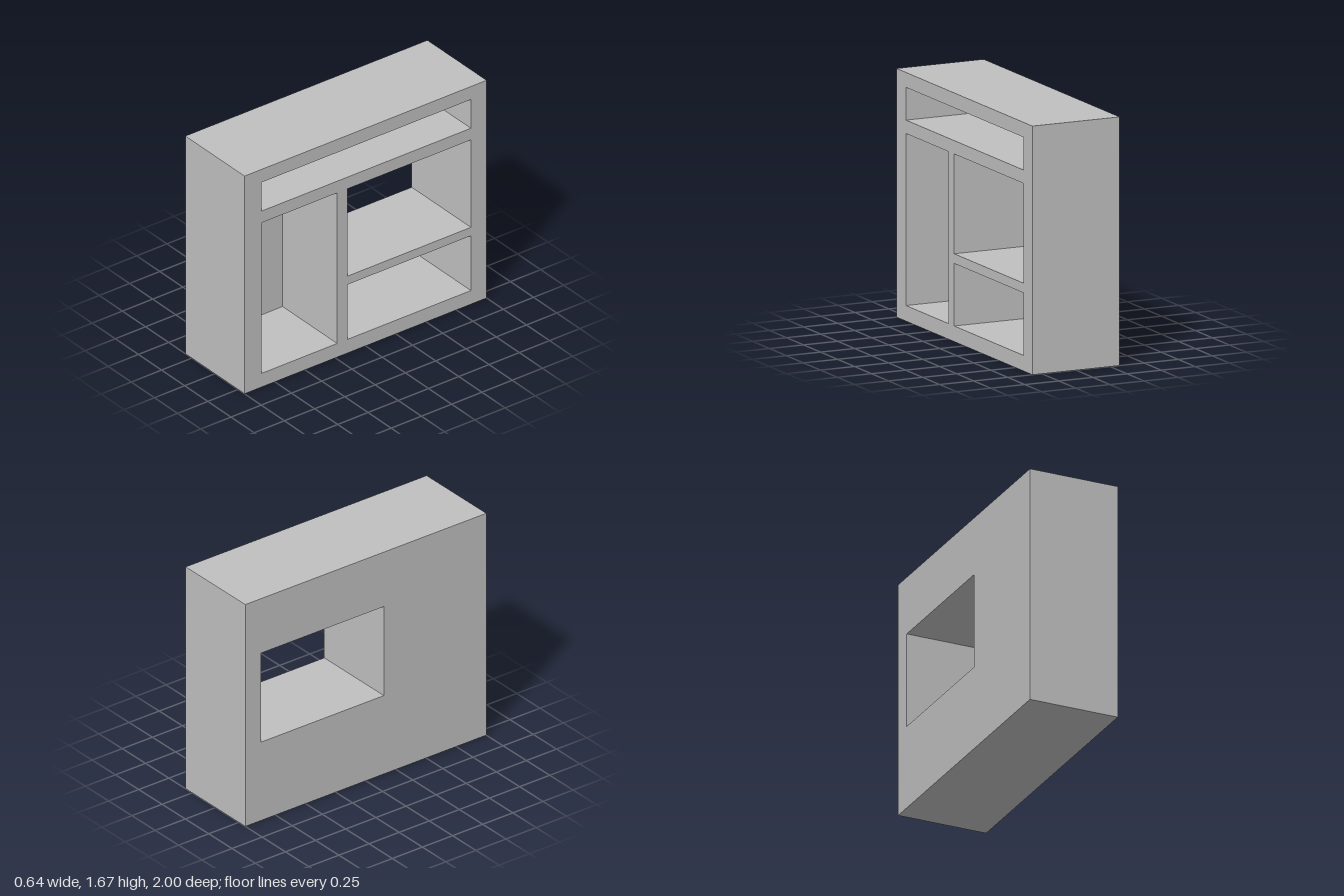
import * as THREE from 'three';

const HALF_WIDTH = 0.32, HALF_LENGTH = 1, HEIGHT = 1.67;
const BACK_THICKNESS = 0.05;

// Openings as [front z, rear z, bottom y, top y]
const WINDOW = [0.15, -0.87, 0.59, 1.26];
const POCKETS = {
  topSlot: [0.86, -0.87, 1.35, 1.57],
  tallCompartment: [0.86, 0.235, 0.105, 1.26],
  lowerCompartment: [0.15, -0.87, 0.105, 0.525],
};

// Rectangle in the side plane, where shape x is -z
function rectangle(Kind, [z0, z1, y0, y1]) {
  return new Kind([
    new THREE.Vector2(-z0, y0),
    new THREE.Vector2(-z1, y0),
    new THREE.Vector2(-z1, y1),
    new THREE.Vector2(-z0, y1),
  ]);
}

export function createModel() {
  const group = new THREE.Group();
  group.name = 'shelfUnit';
  const gray = new THREE.MeshStandardMaterial({ color: 0xc0c0c0 });
  gray.name = 'gray';

  // Frame with every opening cut through its full width
  const outline = rectangle(THREE.Shape, [HALF_LENGTH, -HALF_LENGTH, 0, HEIGHT]);
  outline.holes = [WINDOW, ...Object.values(POCKETS)].map((r) => rectangle(THREE.Path, r));
  const frameGeometry = new THREE.ExtrudeGeometry(outline, { depth: HALF_WIDTH * 2, bevelEnabled: false });
  frameGeometry.rotateY(Math.PI / 2).translate(-HALF_WIDTH, 0, 0);
  const frame = new THREE.Mesh(frameGeometry, gray);
  frame.name = 'frame';
  group.add(frame);

  // Back panels close every compartment except the window
  for (const [name, [z0, z1, y0, y1]] of Object.entries(POCKETS)) {
    const panel = new THREE.Mesh(new THREE.BoxGeometry(BACK_THICKNESS, y1 - y0, z0 - z1), gray);
    panel.position.set(-HALF_WIDTH + BACK_THICKNESS / 2, (y0 + y1) / 2, (z0 + z1) / 2);
    panel.name = name + 'Back';
    group.add(panel);
  }
  return group;
}
